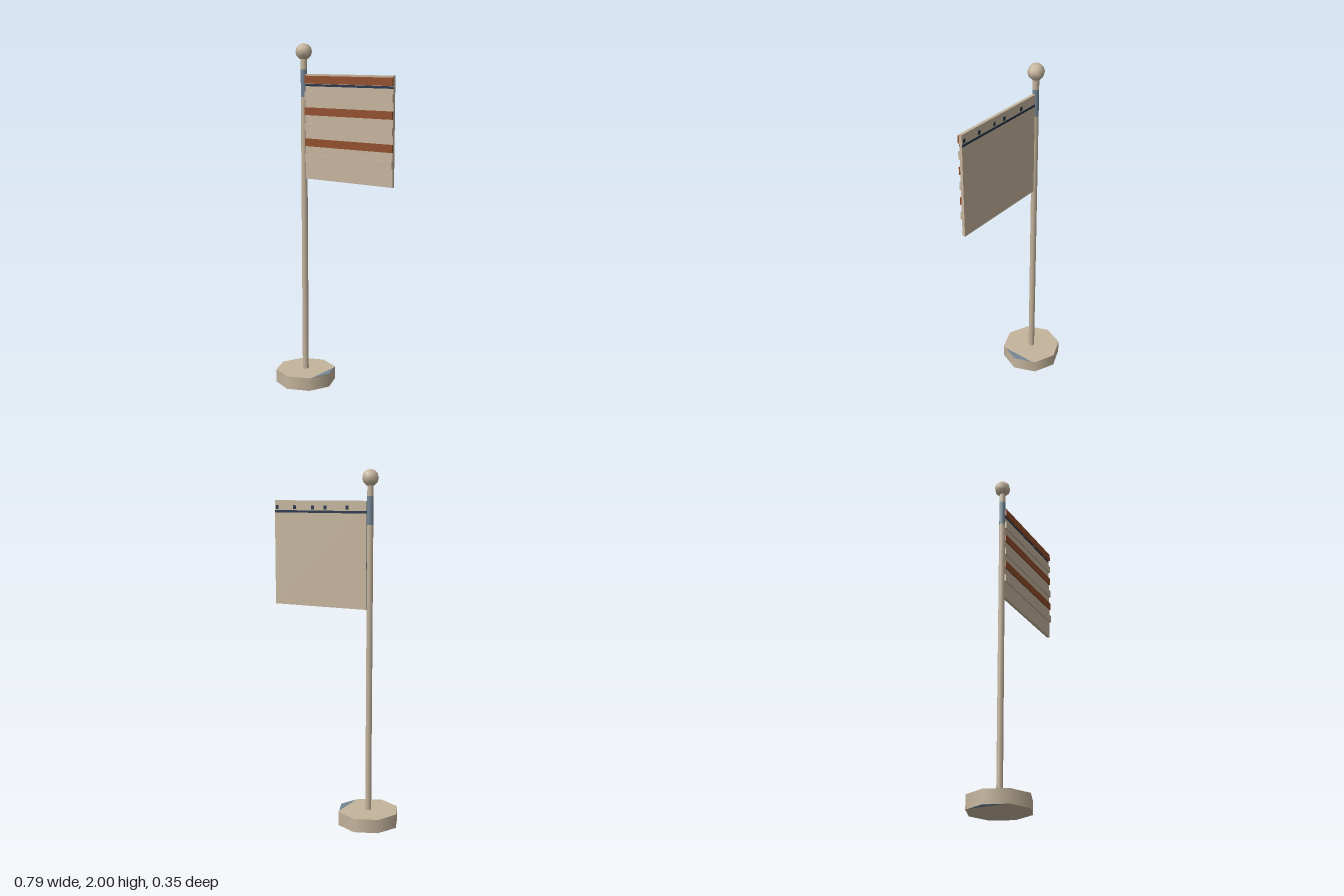
import * as THREE from 'three';

export function createModel() {
  const root = new THREE.Group();
  root.name = 'flagOnPole';
  const mat = (name, color) => {
    const m = new THREE.MeshStandardMaterial({ color });
    m.name = name;
    return m;
  };
  const tan = mat('tan', 0xc4b49c);
  const brown = mat('rustBrown', 0x914e2b);
  const blue = mat('slateBlue', 0x748694);
  const navy = mat('navy', 0x26344a);

  const add = (name, geo, material, x, y, z) => {
    const mesh = new THREE.Mesh(geo, material);
    mesh.name = name;
    mesh.position.set(x, y, z);
    root.add(mesh);
    return mesh;
  };
  const poleX = -0.218;
  const cylinder = (name, r, y0, y1, material) =>
    add(name, new THREE.CylinderGeometry(r, r, y1 - y0, 8), material, poleX, (y0 + y1) / 2, 0);

  // Octagonal foot
  const R = 0.177;
  cylinder('base', R, 0.001, 0.079, tan);

  // Painted corners: one on top at the flag side, one underneath opposite
  const corner = new THREE.Shape([
    new THREE.Vector2(0.135, -0.101),
    new THREE.Vector2(R, 0),
    new THREE.Vector2(0.135, 0.101),
  ]);
  const cornerGeo = new THREE.ExtrudeGeometry(corner, { depth: 0.002, bevelEnabled: false });
  cornerGeo.rotateX(-Math.PI / 2);
  add('baseTopCorner', cornerGeo, blue, poleX, 0.078, 0);
  add('baseBottomCorner', cornerGeo, blue, poleX, 0, 0).rotation.y = Math.PI;

  // Pole with a painted section beside the flag, and a ball on top
  cylinder('poleLower', 0.018, 0.078, 1.7, tan);
  cylinder('poleBand', 0.018, 1.7, 1.855, blue);
  cylinder('poleUpper', 0.018, 1.855, 1.93, tan);
  add('finial', new THREE.SphereGeometry(0.047, 8, 6), tan, poleX, 1.953, 0);

  // Flag board; its inner edge is painted
  const x0 = -0.2, x1 = 0.392, w = x1 - x0, cx = (x0 + x1) / 2;
  add('flag', new THREE.BoxGeometry(w, 0.595, 0.017), [tan, blue, tan, tan, tan, tan], cx, 1.5325, -0.0005);

  // Raised stripes on the front, alternating in colour
  for (let i = 0; i < 6; i++) {
    add('stripe' + (i + 1), new THREE.BoxGeometry(w, 0.043, 0.01),
      i % 2 ? tan : brown, cx, 1.798 - i * 0.0883, 0.0125);
  }

  // Dark line around the flag, and small marks along the top of the back
  add('flagLine', new THREE.BoxGeometry(w, 0.013, 0.019), navy, cx, 1.768, -0.0005);
  for (const x of [0.375, 0.26, 0.14, 0.06, -0.08]) {
    add('backMark', new THREE.BoxGeometry(0.018, 0.022, 0.002), navy, x, 1.792, -0.009);
  }
  return root;
}
